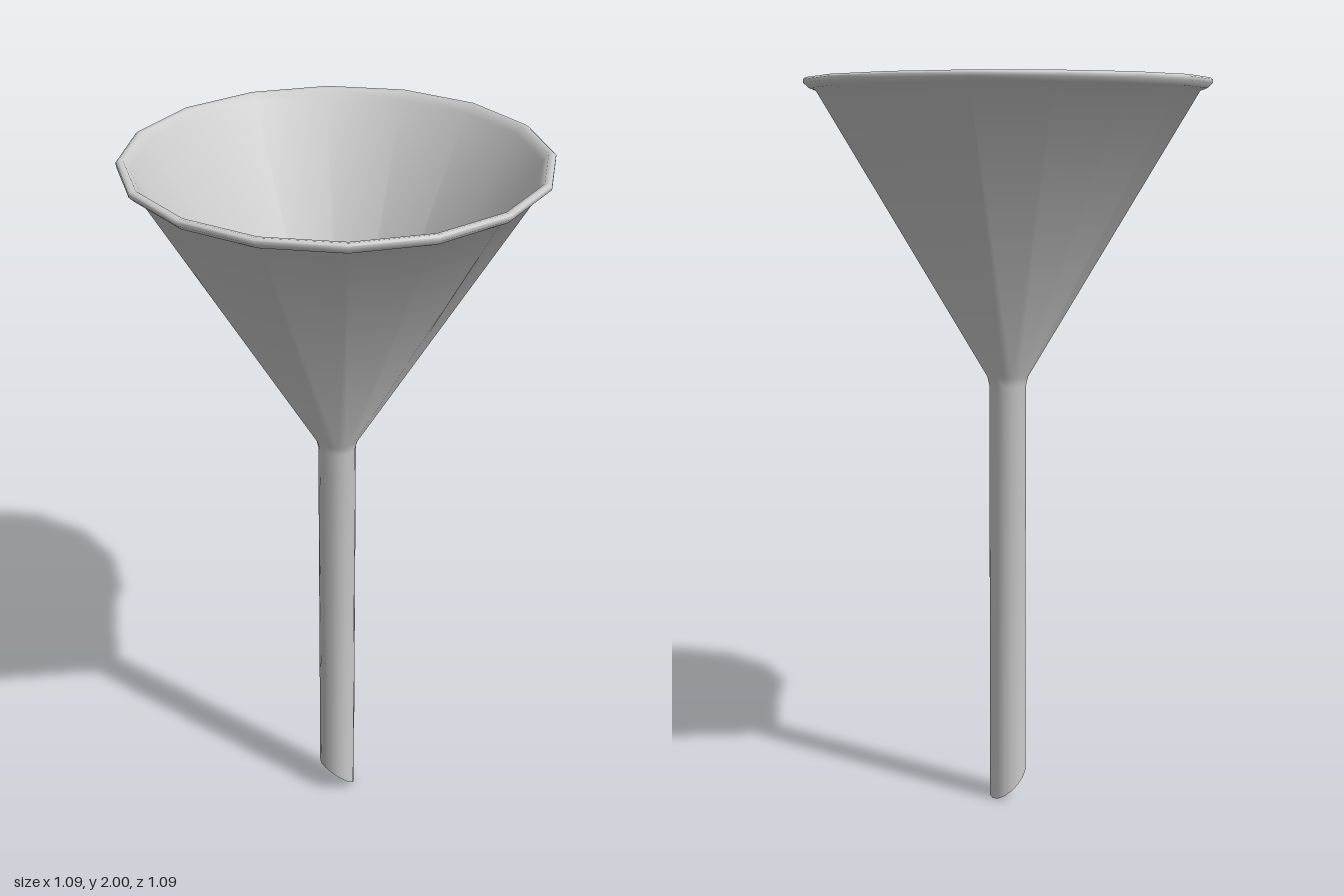
import * as THREE from 'three';
import { toCreasedNormals } from 'three/addons/utils/BufferGeometryUtils.js';

const SIDES = 16;

export function createModel() {
  const group = new THREE.Group();
  group.name = 'funnel';

  // Closed wall section [radius, height]: up the outside, over the rim, down the inside
  const profile = [
    [0.043, 0], [0.051, 0],          // spout end
    [0.051, 1.175], [0.057, 1.2],    // stem and throat
    [0.515, 1.966], [0.533, 1.972],  // cone to underside of rim
    [0.547, 1.985], [0.547, 1.995],  // rolled lip
    [0.54, 2], [0.528, 1.998], [0.514, 1.978],
    [0.049, 1.2], [0.043, 1.175],    // inner cone and throat
    [0.043, 0],
  ].map(([r, y]) => new THREE.Vector2(r, y));
  const geometry = new THREE.LatheGeometry(profile, SIDES);

  // Cut the spout end on a slant, lowest at +x
  const pos = geometry.attributes.position;
  for (let i = 0; i < pos.count; i++) {
    if (pos.getY(i) < 0.01) pos.setY(i, 0.88 * (0.051 - pos.getX(i)));
  }

  const body = new THREE.Mesh(
    toCreasedNormals(geometry, 0.95),
    new THREE.MeshStandardMaterial({ color: 0xcccccc, side: THREE.DoubleSide })
  );
  body.name = 'funnelBody';
  group.add(body);
  return group;
}
